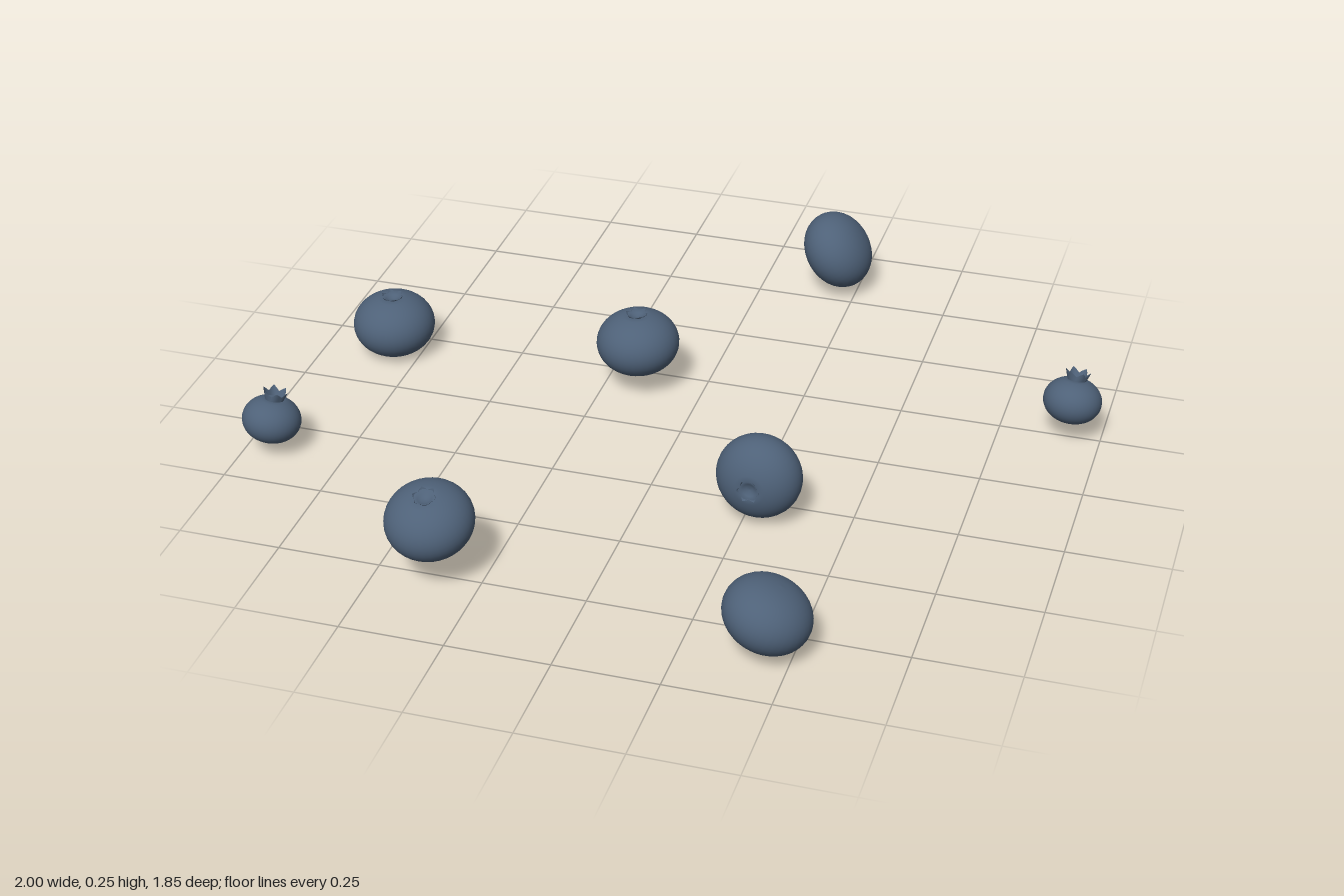
import * as THREE from 'three';

const skin = new THREE.MeshStandardMaterial({ color: 0x4e6178, side: THREE.DoubleSide });
skin.name = 'dusty blue skin';

// Oblate berry body with a small dimple under the crown
function bodyGeometry(radius, half, rim) {
  const pts = [];
  const end = Math.PI - Math.asin(rim * 0.8 / radius);
  for (let i = 0; i <= 22; i++) {
    const t = end * i / 22;
    pts.push(new THREE.Vector2(radius * Math.pow(Math.sin(t), 0.93), -half * Math.cos(t)));
  }
  pts.push(new THREE.Vector2(rim * 0.6, half * 0.92));
  pts.push(new THREE.Vector2(rim * 0.3, half * 0.87));
  pts.push(new THREE.Vector2(0, half * 0.86));
  return new THREE.LatheGeometry(pts, 36);
}

// Flared collar with six pointed teeth
function crownGeometry(rim, height) {
  const geo = new THREE.CylinderGeometry(rim, rim * 0.78, height, 24, 1, true);
  const p = geo.attributes.position;
  for (let i = 0; i < p.count; i++) {
    if (p.getY(i) < 0) continue;
    const tooth = 0.5 + 0.5 * Math.cos(6 * Math.atan2(p.getZ(i), p.getX(i)));
    const flare = 0.85 + 0.25 * tooth;
    p.setXYZ(i, p.getX(i) * flare, height * (0.5 - 0.45 * (1 - tooth)), p.getZ(i) * flare);
  }
  geo.computeVertexNormals();
  return geo;
}

const kinds = {
  large: { body: bodyGeometry(0.104, 0.08, 0.027), crown: crownGeometry(0.026, 0.013), crownY: 0.077 },
  small: { body: bodyGeometry(0.072, 0.057, 0.03), crown: crownGeometry(0.029, 0.026), crownY: 0.064 },
};

// Size, centre, and direction the crown points
const berries = [
  ['large', [-0.82, 0.08, -0.175], [0, 1, 0.03]],
  ['large', [-0.165, 0.13, -0.18], [-0.03, 1, 0]],
  ['large', [-0.365, 0.16, 0.763], [0, 0.95, 0.29]],
  ['large', [0.44, 0.103, 0.82], [-0.37, -0.92, 0.08]],
  ['large', [0.195, 0.115, -0.82], [-0.81, -0.58, 0]],
  ['large', [0.283, 0.115, 0.308], [-0.07, 0.04, 1]],
  ['small', [0.925, 0.107, -0.247], [0.08, 0.95, -0.27]],
  ['small', [-0.928, 0.09, 0.363], [0.12, 0.96, -0.2]],
];

export function createModel() {
  const model = new THREE.Group();
  model.name = 'scatteredBerries';
  const up = new THREE.Vector3(0, 1, 0);
  berries.forEach(([size, centre, axis], i) => {
    const kind = kinds[size];
    const berry = new THREE.Group();
    berry.name = `${size}Berry${i + 1}`;
    const body = new THREE.Mesh(kind.body, skin);
    body.name = 'berryBody';
    const crown = new THREE.Mesh(kind.crown, skin);
    crown.name = 'berryCrown';
    crown.position.y = kind.crownY;
    berry.add(body, crown);
    berry.position.set(...centre);
    berry.quaternion.setFromUnitVectors(up, new THREE.Vector3(...axis).normalize());
    model.add(berry);
  });
  return model;
}
